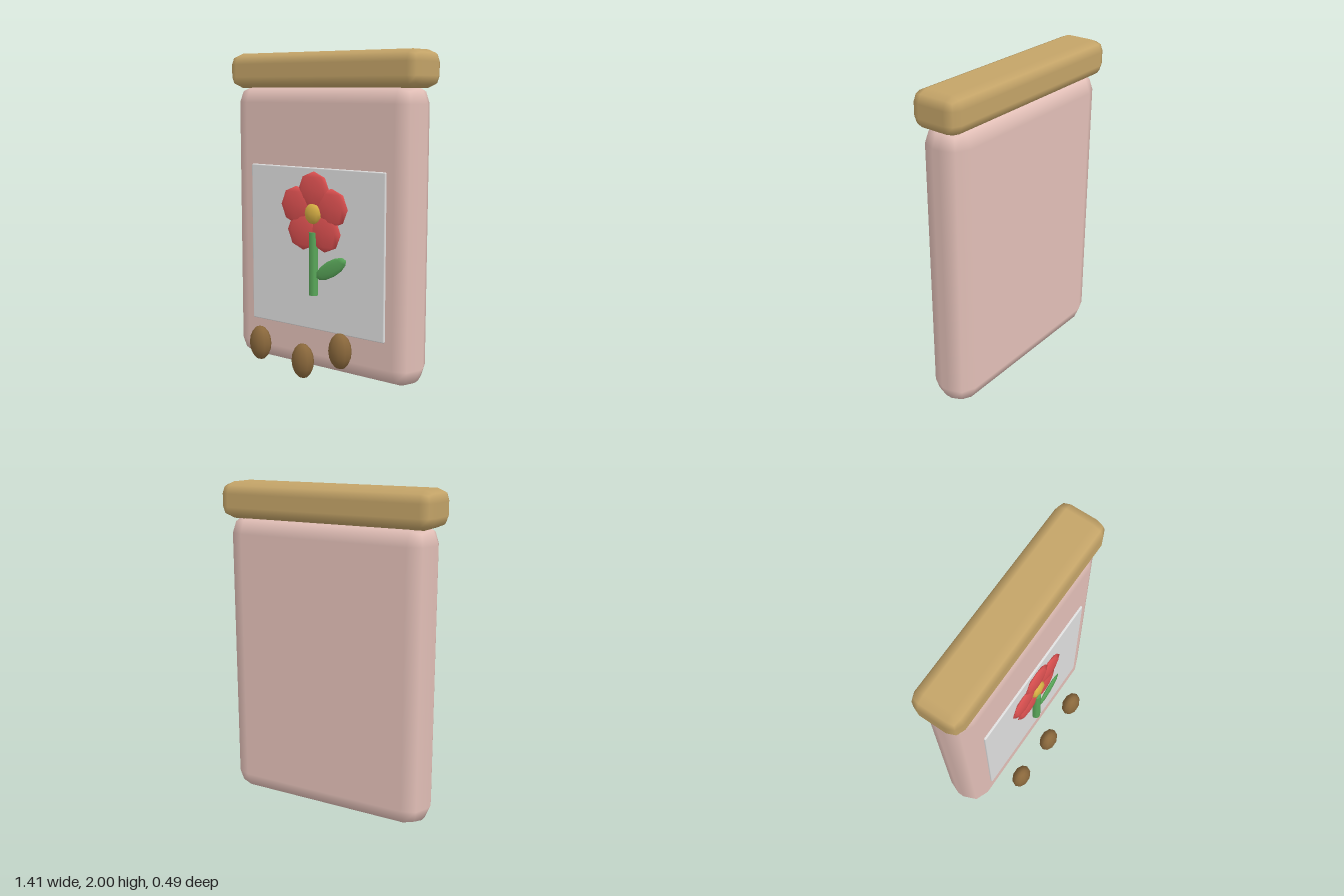
import * as THREE from 'three';
import { RoundedBoxGeometry } from 'three/addons/geometries/RoundedBoxGeometry.js';

const paint = (name, color) => {
  const m = new THREE.MeshStandardMaterial({ color });
  m.name = name;
  return m;
};

export function createModel() {
  const group = new THREE.Group();
  const pink = paint('dusty pink', 0xe3c0b8);
  const tan = paint('tan', 0xc4a468);
  const white = paint('pale grey', 0xe0e0e0);
  const red = paint('petal red', 0xe05252);
  const yellow = paint('pollen yellow', 0xd8b045);
  const green = paint('leaf green', 0x5aa85a);
  const brown = paint('bean brown', 0x8a683c);

  const add = (name, geometry, material, x, y, z) => {
    const mesh = new THREE.Mesh(geometry, material);
    mesh.name = name;
    mesh.position.set(x, y, z);
    group.add(mesh);
    return mesh;
  };
  const ellipsoid = (rx, ry, rz, ws, hs) => new THREE.SphereGeometry(1, ws, hs).scale(rx, ry, rz);

  // Packet body and its lid, both with coarse rounded edges
  add('body', new RoundedBoxGeometry(1.35, 1.81, 0.285, 1, 0.12), pink, 0, 0.905, -0.09);
  add('lid', new RoundedBoxGeometry(1.41, 0.22, 0.31, 1, 0.07), tan, 0, 1.89, -0.093);

  // Label panel
  add('label', new RoundedBoxGeometry(1.015, 1.015, 0.03, 1, 0.008), white, 0, 0.793, 0.05);

  // Flower: five petals around a yellow centre
  for (let i = 0; i < 5; i++) {
    const a = Math.PI / 2 + (i * Math.PI * 2) / 5;
    add('petal', ellipsoid(0.12, 0.12, 0.02, 8, 4), red,
      Math.cos(a) * 0.14, 1.02 + Math.sin(a) * 0.14, 0.075);
  }
  add('flowerCentre', ellipsoid(0.065, 0.065, 0.03, 8, 6), yellow, 0, 1.02, 0.083);

  // Stem and leaf
  add('stem', new THREE.CylinderGeometry(0.03, 0.03, 0.395, 8), green, 0, 0.708, 0.077);
  const leaf = add('leaf', ellipsoid(0.13, 0.05, 0.013, 8, 6), green, 0.135, 0.692, 0.083);
  leaf.rotation.z = 0.54;

  // Loose beans in front of the packet
  for (const [x, y] of [[-0.34, 0.173], [0, 0.117], [0.28, 0.23]]) {
    add('bean', ellipsoid(0.077, 0.11, 0.056, 10, 8), brown, x, y, 0.19);
  }
  return group;
}
